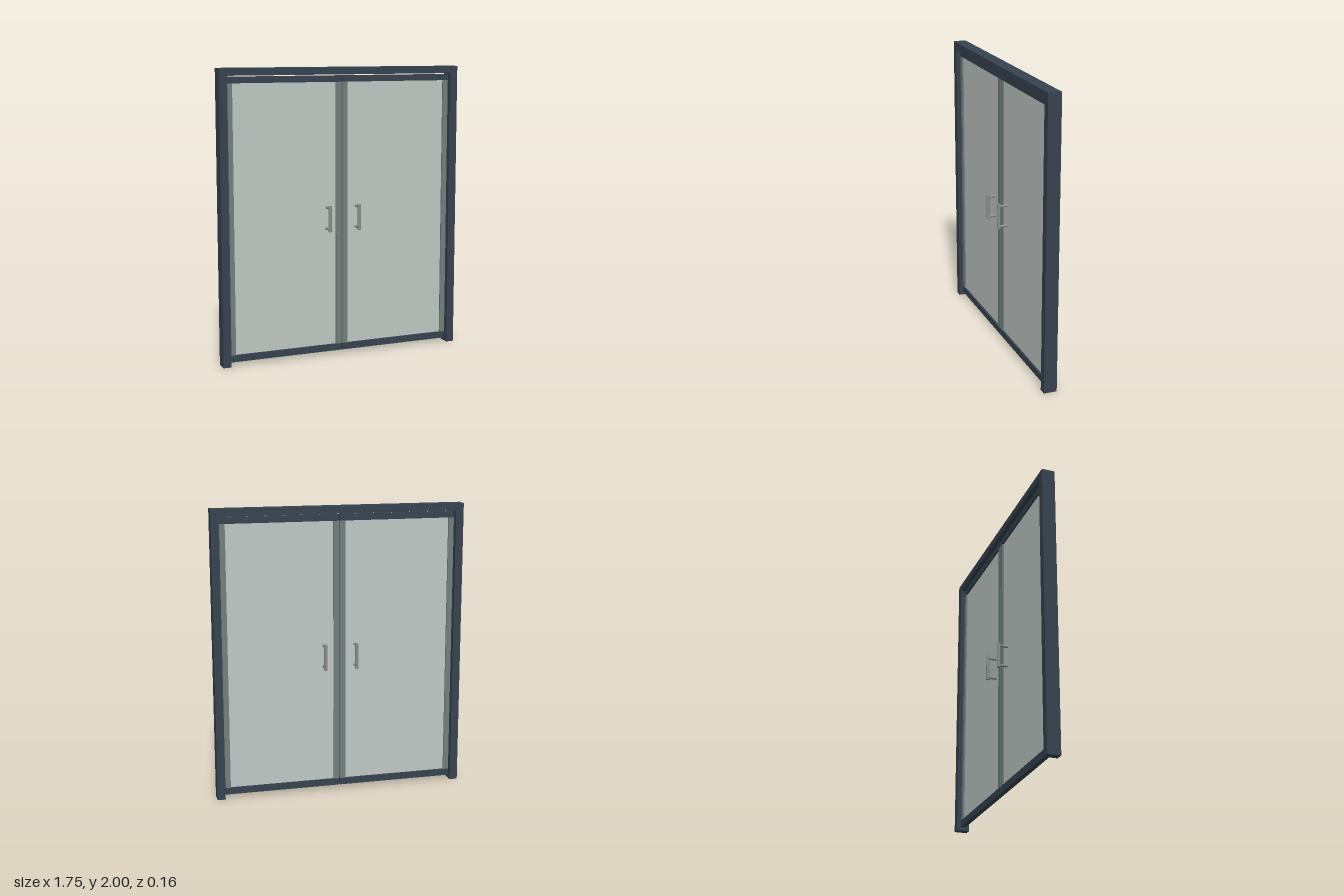
import * as THREE from 'three';

const mat = (color, side = THREE.FrontSide) => new THREE.MeshStandardMaterial({ color, side });

export function createModel() {
  const root = new THREE.Group();
  root.name = 'doubleDoor';
  const frameMat = mat(0x364350);
  const stileMat = mat(0x70807c);
  const glassMat = mat(0xc0c8c4);
  const metalMat = mat(0x8a8f8c);

  const add = (parent, name, geometry, material, x, y, z) => {
    const mesh = new THREE.Mesh(geometry, material);
    mesh.name = name;
    mesh.position.set(x, y, z);
    parent.add(mesh);
    return mesh;
  };
  // Box given by its x and y limits, centred on z = 0
  const slab = (parent, name, x0, x1, y0, y1, depth, material) =>
    add(parent, name, new THREE.BoxGeometry(x1 - x0, y1 - y0, depth), material, (x0 + x1) / 2, (y0 + y1) / 2, 0);

  // Outer frame: one piece with jambs and header, open at the floor
  const outline = new THREE.Shape();
  [[-0.875, 0], [-0.82, 0], [-0.82, 1.95], [0.82, 1.95], [0.82, 0], [0.875, 0], [0.875, 2], [-0.875, 2]]
    .forEach(([x, y], i) => (i ? outline.lineTo(x, y) : outline.moveTo(x, y)));
  outline.closePath();
  const depth = 0.09;
  const frame = new THREE.ExtrudeGeometry(outline, { depth, bevelEnabled: false });
  add(root, 'doorFrame', frame, frameMat, 0, 0, -depth / 2);

  // Two mirrored leaves
  for (const side of [-1, 1]) {
    const leaf = new THREE.Group();
    leaf.name = side > 0 ? 'leftLeaf' : 'rightLeaf';
    leaf.position.x = side * 0.41;
    root.add(leaf);
    const w = 0.406;

    // Rails run the full width, stiles stand between them
    slab(leaf, 'topRail', -w, w, 1.9, 1.943, 0.034, frameMat);
    slab(leaf, 'bottomRail', -w, w, 0.025, 0.072, 0.034, frameMat);
    slab(leaf, 'innerStile', -w, -w + 0.038, 0.072, 1.9, 0.032, stileMat);
    slab(leaf, 'outerStile', w - 0.038, w, 0.072, 1.9, 0.032, stileMat);
    slab(leaf, 'glassPane', -w + 0.038, w - 0.038, 0.072, 1.9, 0.01, glassMat);

    // Pull handles on both faces
    for (const face of [-1, 1]) {
      const handle = new THREE.Group();
      handle.name = face > 0 ? 'frontHandle' : 'backHandle';
      handle.position.set(-side * 0.3, 0.97, 0);
      leaf.add(handle);
      add(handle, 'grip', new THREE.CylinderGeometry(0.012, 0.012, 0.18, 20), metalMat, 0, 0, face * 0.068);
      for (const y of [-0.073, 0.073]) {
        const post = add(handle, 'handlePost', new THREE.CylinderGeometry(0.009, 0.009, 0.063, 16), metalMat, 0, y, face * 0.0355);
        post.rotation.x = Math.PI / 2;
      }
    }
  }
  return root;
}
